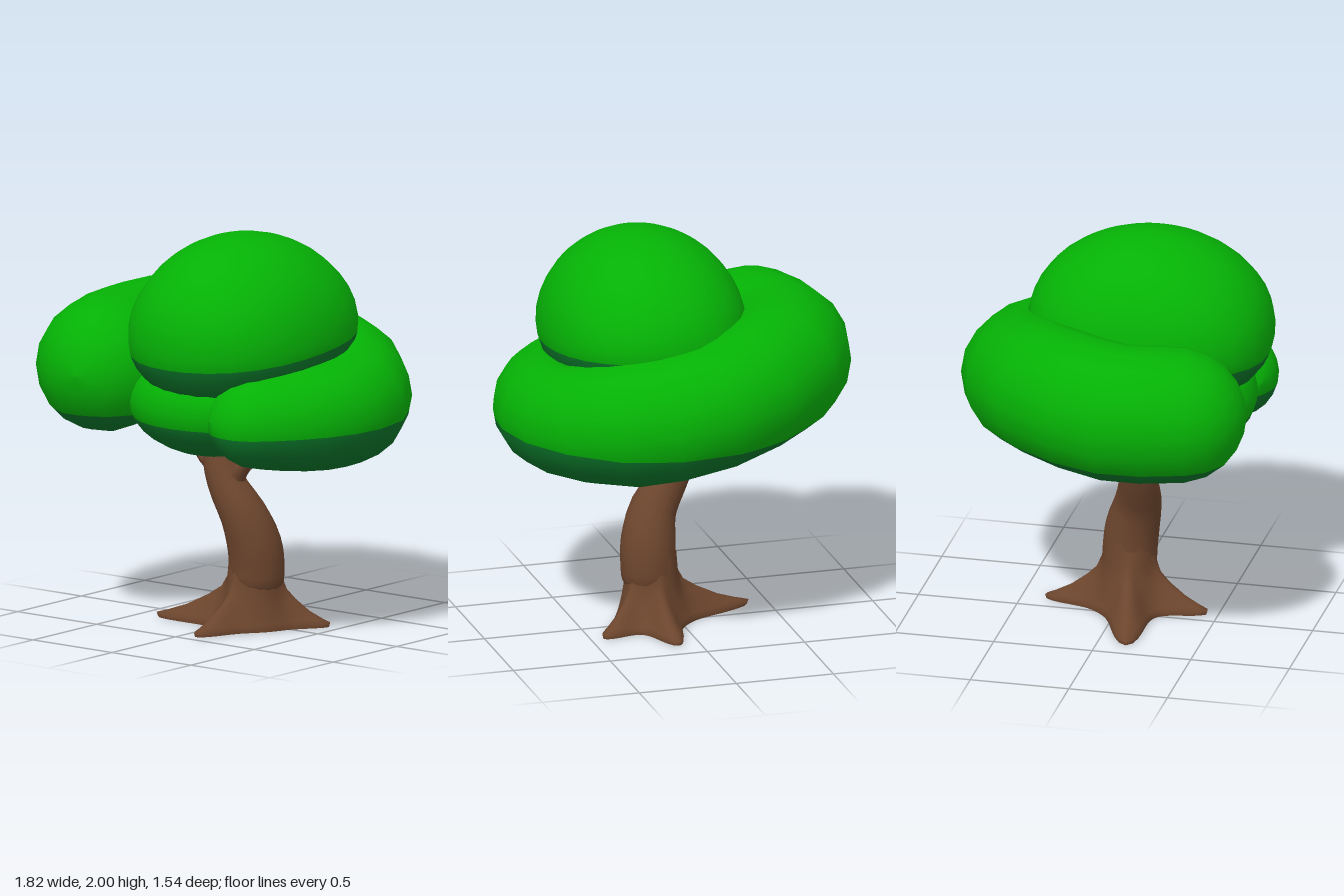
import * as THREE from 'three';
import { mergeVertices } from 'three/addons/utils/BufferGeometryUtils.js';

const material = (name, color, side = THREE.FrontSide) => {
  const m = new THREE.MeshStandardMaterial({ color, side });
  m.name = name;
  return m;
};

// Skins a list of closed rings (flat coordinates, `sides` corners each).
function skin(pos, sides) {
  const idx = [], rows = pos.length / 3 / sides;
  for (let i = 0; i < rows - 1; i++) {
    for (let j = 0; j < sides; j++) {
      const p = i * sides + j, q = i * sides + (j + 1) % sides;
      idx.push(p, q, p + sides, q, q + sides, p + sides);
    }
  }
  const g = new THREE.BufferGeometry();
  g.setAttribute('position', new THREE.Float32BufferAttribute(pos, 3));
  g.setIndex(idx);
  g.computeVertexNormals();
  return g;
}

// Smooth tapered tube through [x, y, z, radius] points; each end is rounded
// over `cap` times its radius.
function sweep(points, ref, segments, sides, cap) {
  const path = new THREE.CatmullRomCurve3(points.map(p => new THREE.Vector3(p[0], p[1], p[2])), false, 'catmullrom');
  const radii = new THREE.CatmullRomCurve3(points.map(p => new THREE.Vector3(p[3], 0, 0)), false, 'catmullrom');
  const ends = [path.getPoint(0), path.getPoint(1)];
  const pos = [];
  for (let i = 0; i <= segments; i++) {
    const t = (1 - Math.cos(Math.PI * i / segments)) / 2;
    const c = path.getPoint(t), dir = path.getTangent(t);
    const side = ref.clone().cross(dir).normalize();
    const up = dir.clone().cross(side);
    let r = radii.getPoint(t).x;
    ends.forEach((e, k) => {
      const q = Math.min(1, c.distanceTo(e) / (radii.getPoint(k).x * cap));
      r *= Math.sqrt(Math.max(0, 1 - (1 - q) ** 2));
    });
    for (let j = 0; j < sides; j++) {
      const a = j / sides * Math.PI * 2;
      const v = c.clone().addScaledVector(side, r * Math.cos(a)).addScaledVector(up, r * Math.sin(a));
      pos.push(v.x, v.y, v.z);
    }
  }
  return skin(pos, sides);
}

// Star-shaped flare, open below: the trunk foot spreads into ridges that run to each tip.
function rootFlare(cx, cz, tips) {
  const sides = 96, core = 0.13, pos = [];
  const roots = tips.map(([x, z]) => ({ a: Math.atan2(x - cx, z - cz), d: Math.hypot(x - cx, z - cz) }));
  const reach = a => roots.reduce((sum, root) => {
    const off = Math.atan2(Math.sin(a - root.a), Math.cos(a - root.a));
    return sum + (root.d - core - 0.04) / (1 + (off / 0.23) ** 2);
  }, 0.02);
  // [share of the reach, height], from the ground up to the trunk
  const profile = [[0.98, 0], [1, 0.02], [0.85, 0.038], [0.58, 0.078], [0.3, 0.138], [0.12, 0.188], [0.03, 0.25], [-0.05, 0.36]];
  for (const [f, y] of profile) {
    for (let j = 0; j < sides; j++) {
      const a = j / sides * Math.PI * 2, r = core + reach(a) * f;
      pos.push(cx + Math.sin(a) * r, y, cz + Math.cos(a) * r);
    }
  }
  return skin(pos, sides);
}

// Keeps the part of a geometry where height(position) * sign >= 0.
function clip(geometry, height, sign) {
  const g = geometry.toNonIndexed(), P = g.attributes.position, N = g.attributes.normal;
  const pos = [], nor = [];
  for (let i = 0; i < P.count; i += 3) {
    const tri = [0, 1, 2].map(k => {
      const p = new THREE.Vector3().fromBufferAttribute(P, i + k);
      return { p, n: new THREE.Vector3().fromBufferAttribute(N, i + k), d: height(p) * sign };
    });
    const poly = [];
    tri.forEach((a, k) => {
      const b = tri[(k + 1) % 3];
      if (a.d >= 0) poly.push(a);
      if ((a.d >= 0) !== (b.d >= 0)) {
        const t = a.d / (a.d - b.d);
        poly.push({ p: a.p.clone().lerp(b.p, t), n: a.n.clone().lerp(b.n, t).normalize() });
      }
    });
    for (let k = 1; k + 1 < poly.length; k++) {
      for (const v of [poly[0], poly[k], poly[k + 1]]) {
        pos.push(...v.p.toArray());
        nor.push(...v.n.toArray());
      }
    }
  }
  const out = new THREE.BufferGeometry();
  out.setAttribute('position', new THREE.Float32BufferAttribute(pos, 3));
  out.setAttribute('normal', new THREE.Float32BufferAttribute(nor, 3));
  return out;
}

// Squarish ball, flatter below, with its peak pushed slightly towards the front.
function domeShape() {
  let g = new THREE.SphereGeometry(1, 28, 20);
  g.deleteAttribute('uv');
  g.deleteAttribute('normal');
  g = mergeVertices(g);
  const p = g.attributes.position;
  for (let i = 0; i < p.count; i++) {
    const x = p.getX(i), y = p.getY(i), z = p.getZ(i), k = 1 + 0.16 * (x * z) ** 2;
    p.setXYZ(i, x * k, y < 0 ? y * 0.8 : y, z * k + Math.max(y, 0) * 0.05);
  }
  g.scale(0.505, 0.489, 0.613).rotateX(0.09).translate(0.146, 1.51, 0.147);
  g.computeVertexNormals();
  return g;
}

export function createModel() {
  const bark = material('bark brown', 0x6c452d, THREE.DoubleSide);
  const leaf = material('leaf green', 0x05b205);
  const shade = material('underside green', 0x0a7228);
  const tree = new THREE.Group();
  tree.name = 'tree';
  const Y = new THREE.Vector3(0, 1, 0), Z = new THREE.Vector3(0, 0, 1);

  const add = (name, geometry, mat) => {
    const mesh = new THREE.Mesh(geometry, mat);
    mesh.name = name;
    tree.add(mesh);
  };
  const addFoliage = (name, geometry, height) => {
    add(name + 'Top', clip(geometry, height, 1), leaf);
    add(name + 'Underside', clip(geometry, height, -1), shade);
  };

  // Bent trunk
  add('trunk', sweep([
    [0.138, 0.15, 0.04, 0.135], [0.145, 0.3, 0.04, 0.138], [0.14, 0.42, 0.055, 0.135],
    [0.105, 0.56, 0.09, 0.118], [0.02, 0.7, 0.11, 0.097], [-0.035, 0.82, 0.105, 0.085],
    [-0.065, 0.94, 0.09, 0.072], [-0.075, 1.04, 0.085, 0.065],
  ], Z, 28, 16, 0.7), bark);

  // Four spreading roots
  add('roots', rootFlare(0.13, 0.04, [[-0.41, 0.15], [0.085, 0.455], [0.44, -0.18], [0.11, -0.385]]), bark);

  // Branches reaching into the crown
  add('rightBranch', sweep([
    [-0.03, 0.76, 0.1, 0.045], [-0.14, 0.825, 0.09, 0.036], [-0.24, 0.91, 0.06, 0.028], [-0.31, 1.03, 0.03, 0.022],
    [-0.33, 1.1, 0.02, 0.018],
  ], Z, 12, 8, 1), bark);
  add('leftBranch', sweep([
    [0.03, 0.66, 0.1, 0.055], [0.09, 0.78, 0.11, 0.043], [0.2, 0.865, 0.12, 0.028], [0.36, 0.95, 0.14, 0.021],
    [0.52, 1.05, 0.17, 0.016],
  ], Z, 12, 8, 1), bark);
  add('twig', sweep([
    [0.18, 0.85, 0.11, 0.02], [0.195, 0.9, 0.1, 0.018], [0.19, 0.96, 0.09, 0.014],
  ], Z, 6, 8, 1), bark);

  // Horseshoe of foliage round the back, higher on the right than the left
  const hoop = sweep([
    [-0.42, 1.3, 0.765, 0.32], [-0.51, 1.305, 0.4, 0.34], [-0.562, 1.315, 0.11, 0.343], [-0.4, 1.34, -0.27, 0.33],
    [-0.02, 1.255, -0.45, 0.32], [0.34, 1.19, -0.39, 0.32], [0.6, 1.145, -0.14, 0.28],
    [0.64, 1.135, 0.13, 0.268], [0.54, 1.135, 0.4, 0.24], [0.34, 1.15, 0.66, 0.2],
  ], Y, 26, 18, 1);
  addFoliage('hoopFoliage', hoop, p => p.y - 1.085);

  // Cushion of foliage under the dome
  const cushion = new THREE.SphereGeometry(1, 24, 16).scale(0.44, 0.26, 0.34).translate(0.095, 1.165, 0.345);
  addFoliage('frontFoliage', cushion, p => p.y - 1.085);

  // Big dome, tipped forward
  addFoliage('domeFoliage', domeShape(), p => p.y + 0.09 * p.z - 1.465);

  return tree;
}
